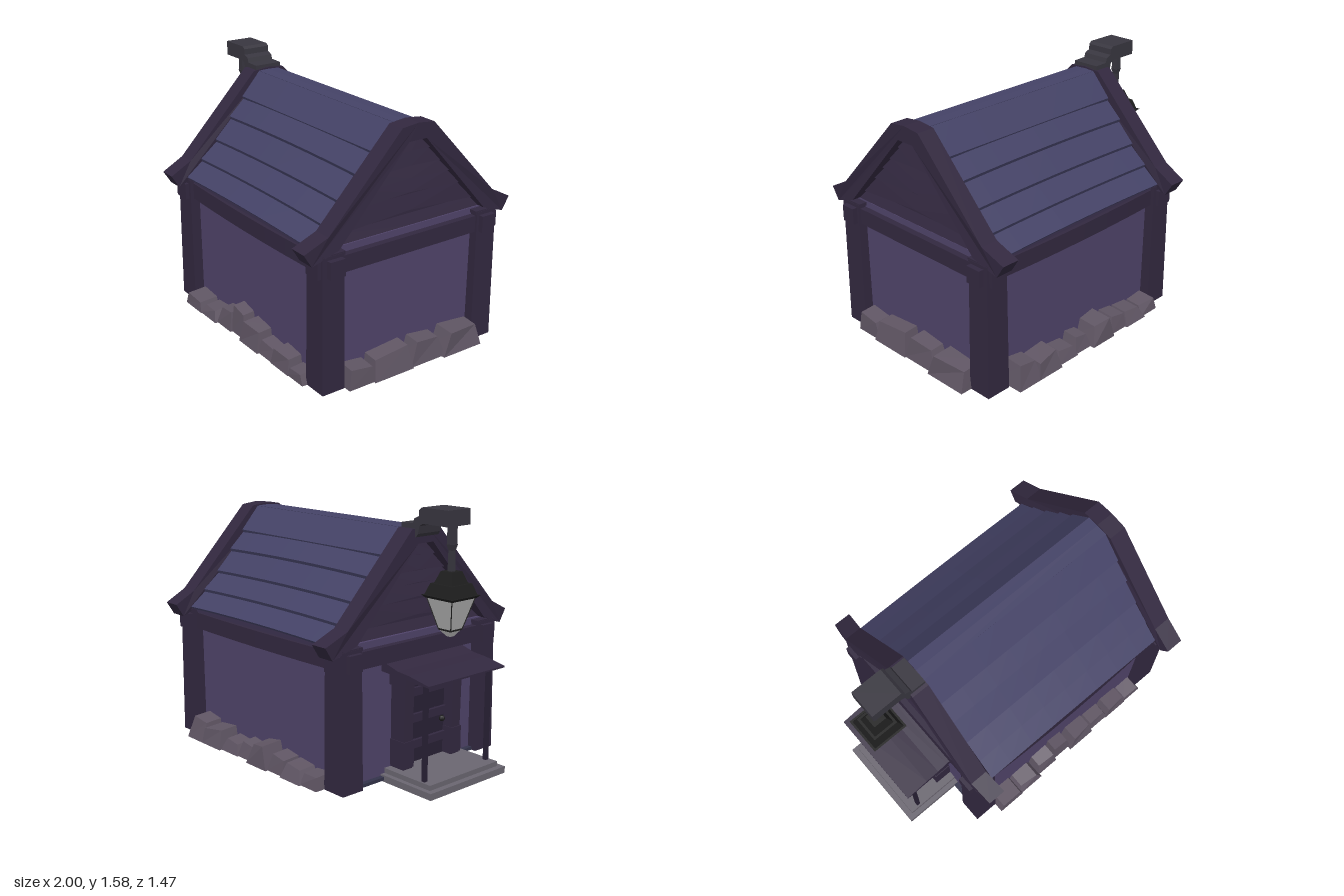
import * as THREE from 'three';

const mat = (color) => new THREE.MeshStandardMaterial({ color, flatShading: true });

export function createModel() {
  const house = new THREE.Group();
  const M = {
    wall: mat(0x4f4369), wood: mat(0x32283f), darkWood: mat(0x282034), roof: mat(0x444266), floor: mat(0x33334a),
    stone: mat(0x5f5563), slab: mat(0x6a6670), iron: mat(0x1e1e1e), arm: mat(0x38363f), glass: mat(0xb4b4b4), tip: mat(0xffffff),
  };

  const add = (name, geo, material, parent = house) => {
    const m = new THREE.Mesh(geo, material);
    m.name = name;
    parent.add(m);
    return m;
  };
  // Box given by its min and max on each axis
  const box = (name, x0, x1, y0, y1, z0, z1, material, parent) => {
    const m = add(name, new THREE.BoxGeometry(x1 - x0, y1 - y0, z1 - z0), material, parent);
    m.position.set((x0 + x1) / 2, (y0 + y1) / 2, (z0 + z1) / 2);
    return m;
  };
  const reshape = (geo, rule) => {
    const p = geo.attributes.position, v = new THREE.Vector3();
    for (let i = 0; i < p.count; i++) {
      rule(v.fromBufferAttribute(p, i));
      p.setXYZ(i, v.x, v.y, v.z);
    }
    geo.computeVertexNormals();
    return geo;
  };
  const extrude = (pts, depth, steps = 1) => new THREE.ExtrudeGeometry(
    new THREE.Shape(pts.map(([a, b]) => new THREE.Vector2(a, b))), { depth, steps, bevelEnabled: false });
  // Profile in (z, y), swept along x from x0 to x1
  const sweepX = (pts, x0, x1, steps) =>
    extrude(pts.map(([z, y]) => [-z, y]), x1 - x0, steps).rotateY(Math.PI / 2).translate(x0, 0, 0);
  const mirrored = (half) => [...half, ...half.filter(([z]) => z > 0).reverse().map(([z, y]) => [-z, y])];

  // Walls and floor
  const CX = 0.13, HX = 0.73;
  box('walls', CX - HX, CX + HX, 0.02, 0.85, -0.56, 0.56, M.wall);
  box('floor', CX - HX - 0.03, CX + HX + 0.03, 0.01, 0.03, -0.59, 0.59, M.floor);
  add('attic', sweepX(mirrored([[0, 1.4], [0.08, 1.4], [0.58, 0.84]]), CX - HX + 0.02, CX + HX - 0.02), M.wall);

  // Corner posts, a little wider at the foot
  for (const sx of [-1, 1]) for (const sz of [-1, 1]) {
    const geo = reshape(new THREE.BoxGeometry(0.16, 0.825, 0.15), (v) => {
      if (v.y > 0) { v.x *= 0.9; v.z *= 0.95; }
    });
    add('cornerPost', geo, M.wood).position.set(CX + sx * 0.711, 0.4225, sz * 0.55);
    const cap = add('postCap', new THREE.BoxGeometry(0.14, 0.02, 0.15), M.wood);
    cap.position.set(CX + sx * 0.711, 0.832, sz * 0.545);
  }

  // Top beams with ends poking past the posts; the long ones bulge outward
  const arch = (v) => 1 - ((v.x - CX) / 0.7) ** 2;
  for (const s of [-1, 1]) {
    const profile = [[s * 0.5, 0.713], [s * 0.597, 0.713], [s * 0.597, 0.815], [s * 0.5, 0.815]];
    add('longBeam', reshape(sweepX(profile, -0.68, 0.945, 8), (v) => { v.z += s * 0.018 * arch(v); }), M.wood);
    add('eaveStrip', sweepX([[s * 0.5, 0.81], [s * 0.59, 0.81], [s * 0.61, 0.85], [s * 0.5, 0.86]], -0.55, 0.82), M.wall);
    const x = CX + s * 0.715;
    box('crossBeam', x - 0.055, x + 0.055, 0.71, 0.81, -0.645, 0.645, M.wood);
  }

  // Overlapping roof boards, arched slightly in the middle
  const edges = [[0.625, 0.852], [0.52, 0.952], [0.41, 1.06], [0.3, 1.19], [0.2, 1.305], [0.075, 1.47]];
  for (const s of [-1, 1]) {
    for (let i = 0; i < edges.length - 1; i++) {
      const [z0, y0] = edges[i], [z1, y1] = edges[i + 1], lip = i ? 0.028 : 0.014;
      const profile = [[z0, y0], [z0 - 0.012, y0 - lip], [z1 - 0.02, y1 - 0.05], [z1 - 0.005, y1 - 0.018]];
      const geo = sweepX(profile.map(([z, y]) => [s * z, y]), -0.56, 0.83, 8);
      const rise = i < 4 ? 0.012 : 0;
      add('roofBoard', reshape(geo, (v) => { v.y += rise * arch(v); }), M.roof);
    }
  }
  add('ridgeBoard', sweepX(mirrored([[0, 1.455], [0.072, 1.452], [0.06, 1.4]]), -0.56, 0.83), M.roof);

  // Barge boards with kicked-out feet that turn slightly inward
  const barge = mirrored(
    [[0, 1.467], [0.11, 1.455], [0.59, 0.95], [0.735, 0.88], [0.685, 0.8], [0.52, 0.86], [0.06, 1.37]]);
  for (const s of [-1, 1]) {
    const x = CX + s * 0.735;
    const geo = reshape(sweepX(barge, x - 0.056, x + 0.056), (v) => { if (Math.abs(v.z) > 0.65) v.x -= s * 0.015; });
    add('bargeBoard', geo, M.wood);
  }

  // Gable clapboards, each leaning in towards its top
  const rows = [0.86, 0.92, 1.035, 1.125, 1.2, 1.29, 1.38];
  const lifts = [0, 0.03, 0.02, 0.012, 0.01, 0.008, 0];
  const halfWidth = (y) => Math.max(0.04, 0.56 - (y - 0.86) * 0.92);
  for (const s of [-1, 1]) {
    for (let i = 0; i < rows.length - 1; i++) {
      const [a, b] = [rows[i], rows[i + 1]];
      const pts = [[-halfWidth(a), a], [0, a + lifts[i]], [halfWidth(a), a],
        [halfWidth(b), b], [0, b + lifts[i + 1]], [-halfWidth(b), b]];
      const geo = reshape(sweepX(pts, -0.02, 0.02), (v) => {
        if (v.y > (a + b) / 2) v.x -= s * 0.025;
      });
      add('gableBoard', geo, M.wood).position.x = CX + s * (HX - 0.01);
    }
  }

  // Foundation stones: [start, end, height, reach] along each wall
  const stoneRow = (name, wallDistance, turn, list) => {
    const row = new THREE.Group();
    row.name = name;
    row.rotation.y = turn;
    house.add(row);
    list.forEach(([a, b, h, reach], i) => {
      const k = (n) => { const t = Math.sin(i * 12.9 + n * 78.2 + turn * 3.1) * 43758.5; return t - Math.floor(t); };
      const geo = reshape(new THREE.BoxGeometry(1, 1, 1), (v) => {
        const top = v.y > 0, end = v.x > 0, out = v.z > 0;
        const inset = top ? (0.03 + 0.17 * k(end ? 1 : 2)) * (b - a) : -0.005;
        v.x = end ? b - inset : a + inset;
        v.y = top ? h * (end === (k(3) > 0.5) ? 1 : 0.88) - (out ? 0.012 : 0) : 0.012;
        v.z = out ? wallDistance + (reach - wallDistance) * (top ? 0.7 + 0.28 * k(end ? 4 : 5) : 1) : wallDistance - 0.05;
      });
      add('stone', geo, M.stone, row);
    });
  };
  stoneRow('frontStones', 0.56, 0, [
    [-0.5, -0.32, 0.1, 0.69], [-0.33, -0.15, 0.09, 0.685], [-0.15, 0, 0.145, 0.665], [0, 0.14, 0.2, 0.65],
    [0.13, 0.32, 0.165, 0.675], [0.31, 0.47, 0.11, 0.66], [0.46, 0.63, 0.13, 0.665], [0.62, 0.77, 0.085, 0.66]]);
  stoneRow('backStones', 0.56, Math.PI, [
    [-0.75, -0.58, 0.165, 0.71], [-0.59, -0.41, 0.14, 0.71], [-0.41, -0.25, 0.1, 0.69], [-0.25, -0.12, 0.12, 0.68],
    [-0.12, 0.06, 0.165, 0.71], [0.06, 0.2, 0.13, 0.69], [0.2, 0.37, 0.11, 0.705], [0.36, 0.5, 0.1, 0.69]]);
  stoneRow('sideStones', 0.86, Math.PI / 2, [
    [-0.47, -0.28, 0.145, 0.97], [-0.3, -0.03, 0.17, 0.985], [-0.03, 0.22, 0.17, 0.975], [0.2, 0.48, 0.165, 0.998]]);

  // Porch: two steps, thin posts and a sloping canopy
  const porch = new THREE.Group();
  porch.name = 'porch';
  house.add(porch);
  box('lowerStep', -1, -0.58, 0, 0.04, -0.28, 0.352, M.slab, porch);
  box('upperStep', -0.965, -0.58, 0.04, 0.07, -0.25, 0.32, M.slab, porch);
  for (const z of [-0.225, 0.295]) box('porchPost', -0.91, -0.886, 0.07, 0.66, z - 0.012, z + 0.012, M.darkWood, porch);
  add('canopy', extrude([[-0.97, 0.64], [-0.6, 0.66], [-0.6, 0.72], [-0.66, 0.705], [-0.73, 0.685], [-0.82, 0.677], [-0.97, 0.65]], 0.632)
    .translate(0, 0, -0.28), M.wood, porch);

  // Door with planks, battens, frame and handle
  const door = new THREE.Group();
  door.name = 'door';
  door.position.z = 0.035;
  house.add(door);
  for (let i = 0; i < 4; i++) {
    const z = -0.17 + i * 0.085;
    box('doorPlank', -0.64, -0.59, 0.07, 0.6, z + 0.004, z + 0.081, M.darkWood, door);
  }
  for (const y of [0.16, 0.32, 0.48]) box('doorBatten', -0.66, -0.63, y, y + 0.05, -0.17, 0.17, M.wood, door);
  for (const s of [-1, 1]) {
    const jamb = reshape(new THREE.BoxGeometry(0.11, 0.57, 0.07), (v) => { if (v.y > 0 && v.x < 0) v.x -= 0.012; });
    add('doorJamb', jamb, M.wood, door).position.set(-0.65, 0.355, s * 0.2);
    box('jambFoot', -0.715, -0.59, 0.08, 0.24, s * 0.2 - 0.04, s * 0.2 + 0.04, M.wood, door);
  }
  box('doorLintel', -0.715, -0.59, 0.57, 0.645, -0.25, 0.25, M.wood, door);
  add('doorHandle', new THREE.SphereGeometry(0.018, 8, 6), M.iron, door).position.set(-0.67, 0.3, 0.12);

  // Bracket holding the lantern out from the ridge
  add('lanternArm', extrude([
    [-0.908, 1.49], [-0.72, 1.49], [-0.695, 1.475], [-0.685, 1.43], [-0.67, 1.41], [-0.555, 1.41], [-0.555, 1.485],
    [-0.645, 1.487], [-0.655, 1.515], [-0.69, 1.53], [-0.692, 1.565], [-0.71, 1.58], [-0.908, 1.58]], 0.18)
    .translate(0, 0, -0.09), M.arm);

  // Lantern from square tapered tiers: [name, bottom y, top y, bottom half width, top half width, material]
  const lantern = new THREE.Group();
  lantern.name = 'lantern';
  lantern.position.x = -0.86;
  house.add(lantern);
  const tiers = [
    ['hangerTop', 1.38, 1.49, 0.02, 0.02, M.arm], ['hangerCollar', 1.35, 1.385, 0.014, 0.023, M.arm],
    ['hangerRod', 1.22, 1.36, 0.016, 0.014, M.arm], ['lanternCap', 1.165, 1.235, 0.068, 0.042, M.iron],
    ['lanternHood', 1.1, 1.167, 0.105, 0.082, M.iron], ['hoodRim', 1.085, 1.102, 0.1, 0.117, M.iron],
    ['lanternGlass', 0.91, 1.088, 0.046, 0.095, M.glass], ['lanternBase', 0.902, 0.912, 0.047, 0.048, M.iron],
    ['lanternTip', 0.865, 0.902, 0.015, 0.042, M.tip]];
  for (const [name, y0, y1, w0, w1, material] of tiers) {
    const geo = new THREE.CylinderGeometry(w1 * Math.SQRT2, w0 * Math.SQRT2, y1 - y0, 4).rotateY(Math.PI / 4);
    add(name, geo, material, lantern).position.y = (y0 + y1) / 2;
  }
  for (const sx of [-1, 1]) for (const sz of [-1, 1]) {
    const path = new THREE.LineCurve3(new THREE.Vector3(sx * 0.046, 0.905, sz * 0.046), new THREE.Vector3(sx * 0.095, 1.088, sz * 0.095));
    add('glassBar', new THREE.TubeGeometry(path, 1, 0.004, 4), M.iron, lantern);
  }
  return house;
}
